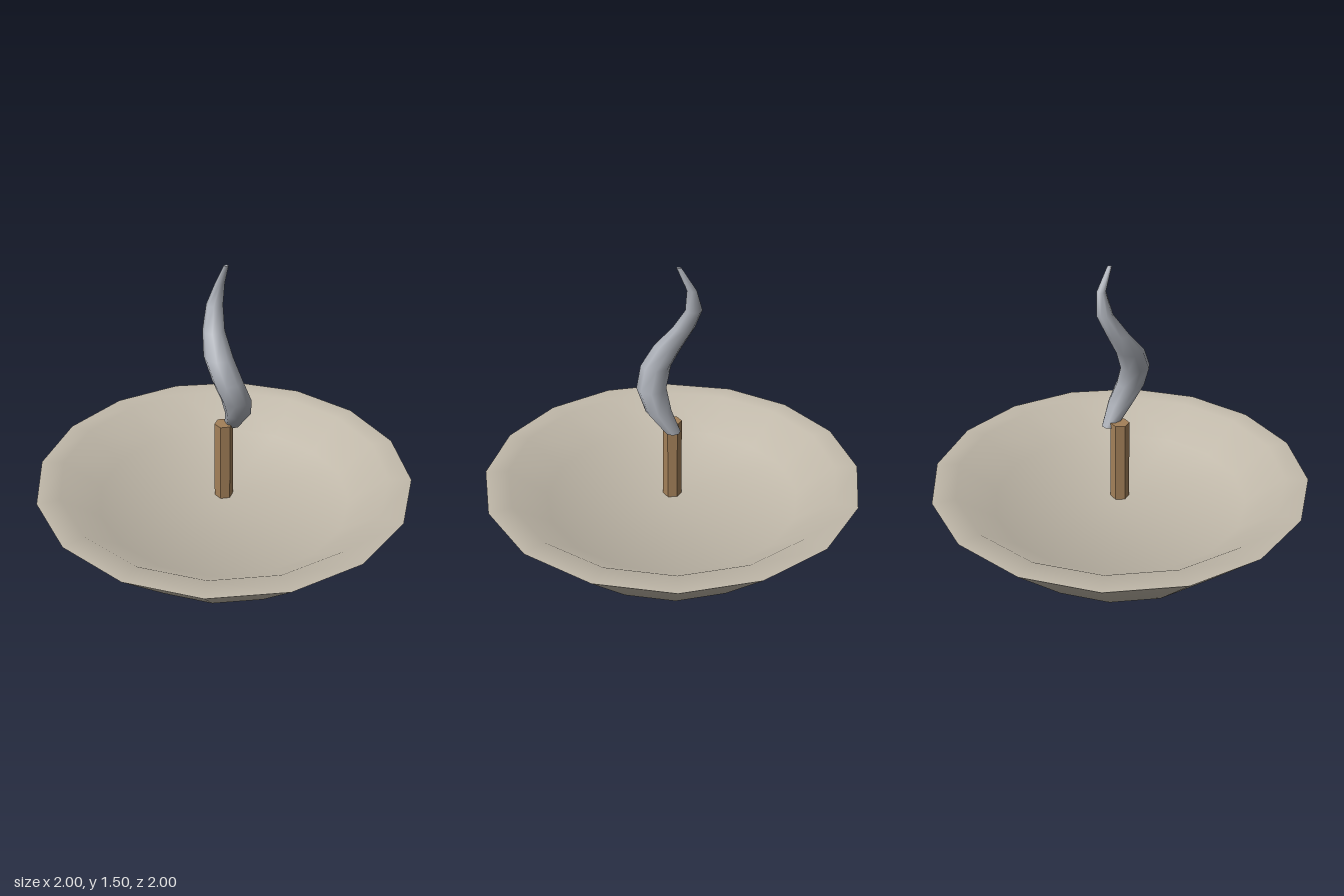
import * as THREE from 'three';
import { mergeVertices, toCreasedNormals } from 'three/addons/utils/BufferGeometryUtils.js';

const clay = new THREE.MeshStandardMaterial({ color: 0xc1b9aa });
clay.name = 'clay';
const wood = new THREE.MeshStandardMaterial({ color: 0xa38059 });
wood.name = 'wood';
const smokeGrey = new THREE.MeshStandardMaterial({ color: 0xacb0b8 });
smokeGrey.name = 'smokeGrey';

const floorY = 0.2;

// Dish: sixteen-sided, flat lip and flat raised floor, sharp only at the outer rim
function makeDish() {
  const profile = [[0, 0], [0.65, 0], [1, 0.35], [0.88, 0.35], [0.68, floorY], [0, floorY]]
    .map(([r, y]) => new THREE.Vector2(r, y));
  const geometry = toCreasedNormals(new THREE.LatheGeometry(profile, 16), 1.1);
  const dish = new THREE.Mesh(geometry, clay);
  dish.name = 'dish';
  return dish;
}

// Stick: upright hexagonal prism with corners on the x axis
function makeStick() {
  const top = 0.65;
  const geometry = new THREE.CylinderGeometry(0.05, 0.05, top - floorY, 6).toNonIndexed();
  geometry.rotateY(Math.PI / 6);
  geometry.computeVertexNormals();
  const stick = new THREE.Mesh(geometry, wood);
  stick.position.y = (floorY + top) / 2;
  stick.name = 'stick';
  return stick;
}

// Smoke: level rings that swirl and taper as they rise
function makeSmoke() {
  // centre x, centre z, radius, from the bottom ring up
  const rings = [
    [0, -0.06, 0.042], [0.072, -0.035, 0.067], [0.107, 0.008, 0.077],
    [0.083, 0.045, 0.078], [0.018, 0.05, 0.074], [-0.057, 0.018, 0.056],
    [-0.104, -0.028, 0.042], [-0.092, -0.053, 0.024], [-0.03, -0.04, 0.012],
  ];
  const steps = rings.length - 1;
  let geometry = new THREE.CylinderGeometry(1, 1, 1, 8, steps);
  const p = geometry.attributes.position;
  for (let i = 0; i < p.count; i++) {
    const k = Math.round((p.getY(i) + 0.5) * steps);
    const [x, z, r] = rings[k];
    p.setXYZ(i, x + p.getX(i) * r, 0.62 + k * 0.11, z + p.getZ(i) * r);
  }
  geometry.deleteAttribute('uv');
  geometry.deleteAttribute('normal');
  geometry = toCreasedNormals(mergeVertices(geometry, 1e-5), 1.15);
  const smoke = new THREE.Mesh(geometry, smokeGrey);
  smoke.name = 'smoke';
  return smoke;
}

export function createModel() {
  const model = new THREE.Group();
  model.name = 'incenseBurner';
  model.add(makeDish(), makeStick(), makeSmoke());
  return model;
}
